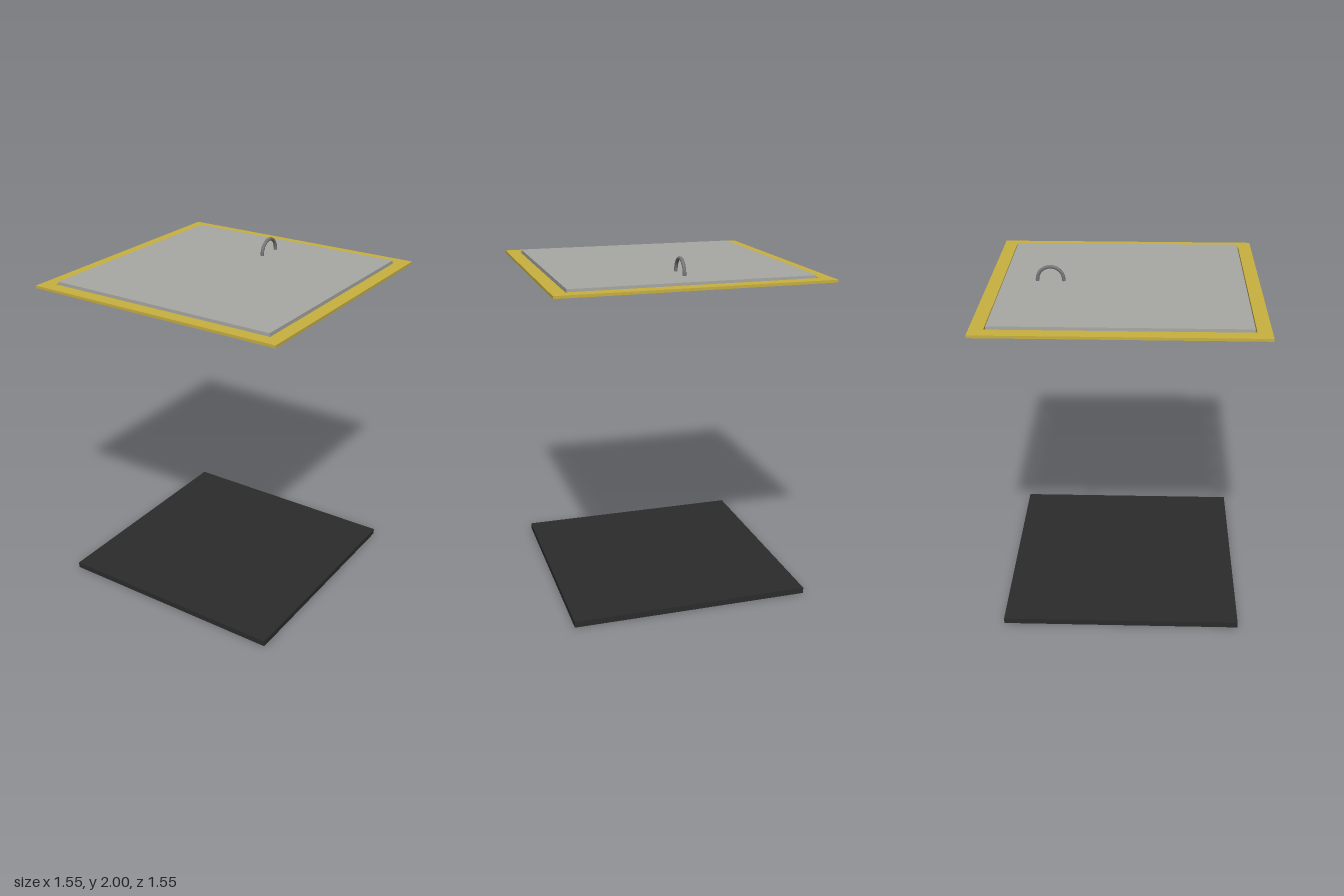
import * as THREE from 'three';

const mat = (color) => new THREE.MeshStandardMaterial({ color });

export function createModel() {
  const group = new THREE.Group();
  group.name = 'floorHatch';
  const dark = mat(0x2b2b2b), yellow = mat(0xc8b040), grey = mat(0xa8a8a4), steel = mat(0x77777a);

  const box = (name, material, [w, h, d], [x, y, z]) => {
    const mesh = new THREE.Mesh(new THREE.BoxGeometry(w, h, d), material);
    mesh.name = name;
    mesh.position.set(x, y, z);
    group.add(mesh);
  };

  // Pit floor far below the hatch
  box('pitFloor', dark, [1.39, 0.034, 1.39], [0, 0.017, 0]);

  // Border: full-width strips front and back, shorter strips between them
  const outer = 0.773, inner = 0.695, band = outer - inner;
  const mid = (outer + inner) / 2, frameY = 1.886, frameH = 0.015;
  for (const s of [-1, 1]) {
    box(s > 0 ? 'frontBorder' : 'backBorder', yellow, [2 * outer, frameH, band], [0, frameY, s * mid]);
    box(s > 0 ? 'leftBorder' : 'rightBorder', yellow, [band, frameH, 2 * inner], [s * mid, frameY, 0]);
  }

  // Lid plate, slightly proud of the border with a narrow gap all round
  box('lid', grey, [1.372, 0.027, 1.372], [0, 1.894, 0]);

  // Pull ring passing through the lid near the back
  const ring = new THREE.Mesh(new THREE.TorusGeometry(0.075, 0.01, 12, 40), steel);
  ring.name = 'pullRing';
  ring.rotation.y = Math.PI / 2;
  ring.position.set(0, 1.915, -0.417);
  group.add(ring);

  return group;
}
